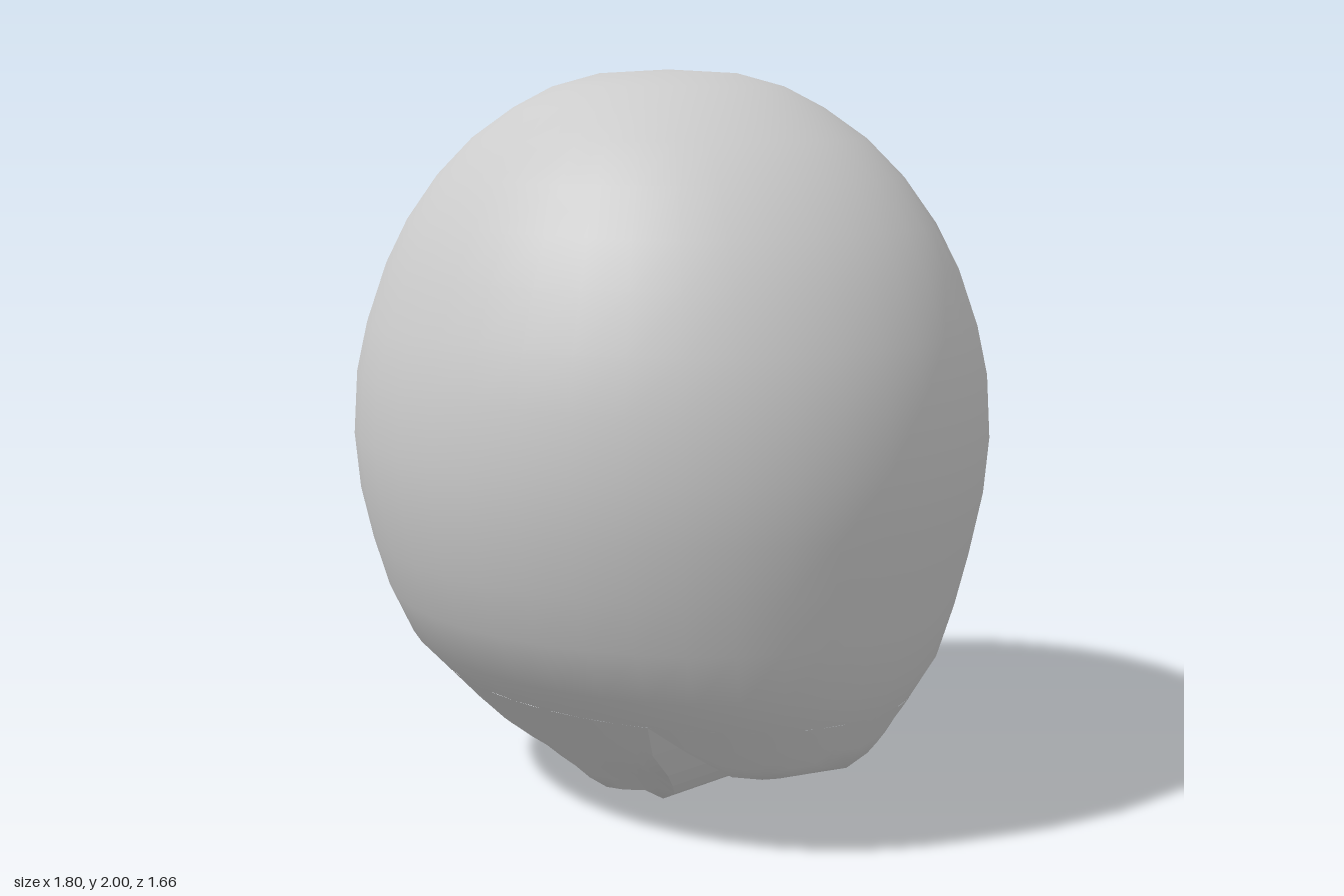
import * as THREE from 'three';

// Half-widths of the elliptical body by height: [y, half-width in x, half-depth in z]
const PROFILE = [
  [0, 0.01, 0.01], [0.03, 0.2, 0.22], [0.05, 0.23, 0.24], [0.16, 0.45, 0.353],
  [0.18, 0.58, 0.374], [0.21, 0.66, 0.404], [0.27, 0.7, 0.466], [0.37, 0.755, 0.568],
  [0.46, 0.8, 0.66], [0.6, 0.832, 0.738], [0.74, 0.862, 0.785], [0.88, 0.888, 0.818],
  [1.03, 0.9, 0.832], [1.2, 0.89, 0.82], [1.33, 0.862, 0.79], [1.48, 0.81, 0.737],
  [1.6, 0.745, 0.68], [1.72, 0.655, 0.6], [1.82, 0.55, 0.51], [1.9, 0.43, 0.405],
  [1.955, 0.32, 0.305], [1.99, 0.19, 0.18], [2, 0.002, 0.002],
];
const HEM = 0.37; // height where the dome splits into lobes

// Lower edge of the lobes: [x, y]
const CENTRE = [[0, 0.002], [0.07, 0.014], [0.14, 0.03], [0.19, 0.06], [0.235, 0.105],
  [0.28, 0.16], [0.345, 0.26], [0.41, HEM]];
const SIDE = [[0.41, HEM], [0.45, 0.29], [0.5, 0.21], [0.54, 0.195], [0.58, 0.18],
  [0.62, 0.195], [0.66, 0.21], [0.7, 0.27], [0.72, 0.307], [0.74, 0.344], [0.755, HEM]];

function halfSizes(y) {
  const t = THREE.MathUtils.clamp(y, 0, 2);
  let i = 1;
  while (i < PROFILE.length - 1 && PROFILE[i][0] < t) i++;
  const [y0, a0, b0] = PROFILE[i - 1];
  const [y1, a1, b1] = PROFILE[i];
  const k = (t - y0) / (y1 - y0);
  return [a0 + (a1 - a0) * k, b0 + (b1 - b0) * k];
}

// Depth of the body surface at a given x and y
function depthAt(x, y) {
  const [a, b] = halfSizes(y);
  return b * Math.sqrt(Math.max(0, 1 - (x / a) ** 2));
}

// Smooth outward normal of the body
function bodyNormal(p) {
  if (p.y > 1.998) return new THREE.Vector3(0, 1, 0);
  const [a, b] = halfSizes(p.y);
  const y0 = Math.max(0, p.y - 0.03), y1 = Math.min(2, p.y + 0.03);
  const [a0, b0] = halfSizes(y0);
  const [a1, b1] = halfSizes(y1);
  const da = (a1 - a0) / (y1 - y0), db = (b1 - b0) / (y1 - y0);
  return new THREE.Vector3(
    p.x / a ** 2,
    -(p.x ** 2 * da) / a ** 3 - (p.z ** 2 * db) / b ** 3,
    p.z / b ** 2
  ).normalize();
}

// Grid surface from point(u, v); flat facets or smooth body normals
function grid(nu, nv, point, flat) {
  const pos = [], nor = [], index = [];
  for (let u = 0; u <= nu; u++) {
    for (let v = 0; v <= nv; v++) {
      const p = point(u, v);
      pos.push(p.x, p.y, p.z);
      nor.push(...bodyNormal(p).toArray());
      if (u < nu && v < nv) {
        const i = u * (nv + 1) + v, j = i + nv + 1;
        index.push(i, j, j + 1, i, j + 1, i + 1);
      }
    }
  }
  let geo = new THREE.BufferGeometry();
  geo.setAttribute('position', new THREE.Float32BufferAttribute(pos, 3));
  geo.setAttribute('normal', new THREE.Float32BufferAttribute(nor, 3));
  geo.setIndex(index);
  if (flat) {
    geo = geo.toNonIndexed();
    geo.computeVertexNormals();
  }
  return geo;
}

export function createModel() {
  const model = new THREE.Group();
  model.name = 'lobedDome';
  const material = new THREE.MeshStandardMaterial({ color: 0xcccccc });

  const add = (parent, name, geometry) => {
    const mesh = new THREE.Mesh(geometry, material);
    mesh.name = name;
    parent.add(mesh);
  };

  // Rounded dome above the lobes
  const rows = PROFILE.filter(([y]) => y >= HEM);
  const sides = 40;
  add(model, 'dome', grid(sides, rows.length - 1, (u, v) => {
    const [y, a, b] = rows[v];
    const t = (u / sides) * Math.PI * 2;
    return new THREE.Vector3(a * Math.sin(t), y, b * Math.cos(t));
  }));

  // One hanging lobe: curved front and back, faceted underside
  function addLobe(name, edge) {
    const lobe = new THREE.Group();
    lobe.name = name;
    const n = edge.length - 1, steps = 8;
    const wall = (u, v, sign) => {
      const [x, low] = edge[sign > 0 ? u : n - u];
      const y = THREE.MathUtils.lerp(low, HEM, v / steps);
      return new THREE.Vector3(x, y, sign * depthAt(x, y));
    };
    add(lobe, 'lobeFront', grid(n, steps, (u, v) => wall(u, v, 1)));
    add(lobe, 'lobeBack', grid(n, steps, (u, v) => wall(u, v, -1)));
    add(lobe, 'lobeUnderside', grid(n, 1, (u, v) => {
      const [x, y] = edge[u];
      return new THREE.Vector3(x, y, (v ? 1 : -1) * depthAt(x, y));
    }, true));
    model.add(lobe);
  }

  const mirror = (edge) => edge.map(([x, y]) => [-x, y]).reverse();
  addLobe('centreLobe', [...mirror(CENTRE).slice(0, -1), ...CENTRE]);
  addLobe('leftLobe', SIDE);
  addLobe('rightLobe', mirror(SIDE));

  return model;
}
